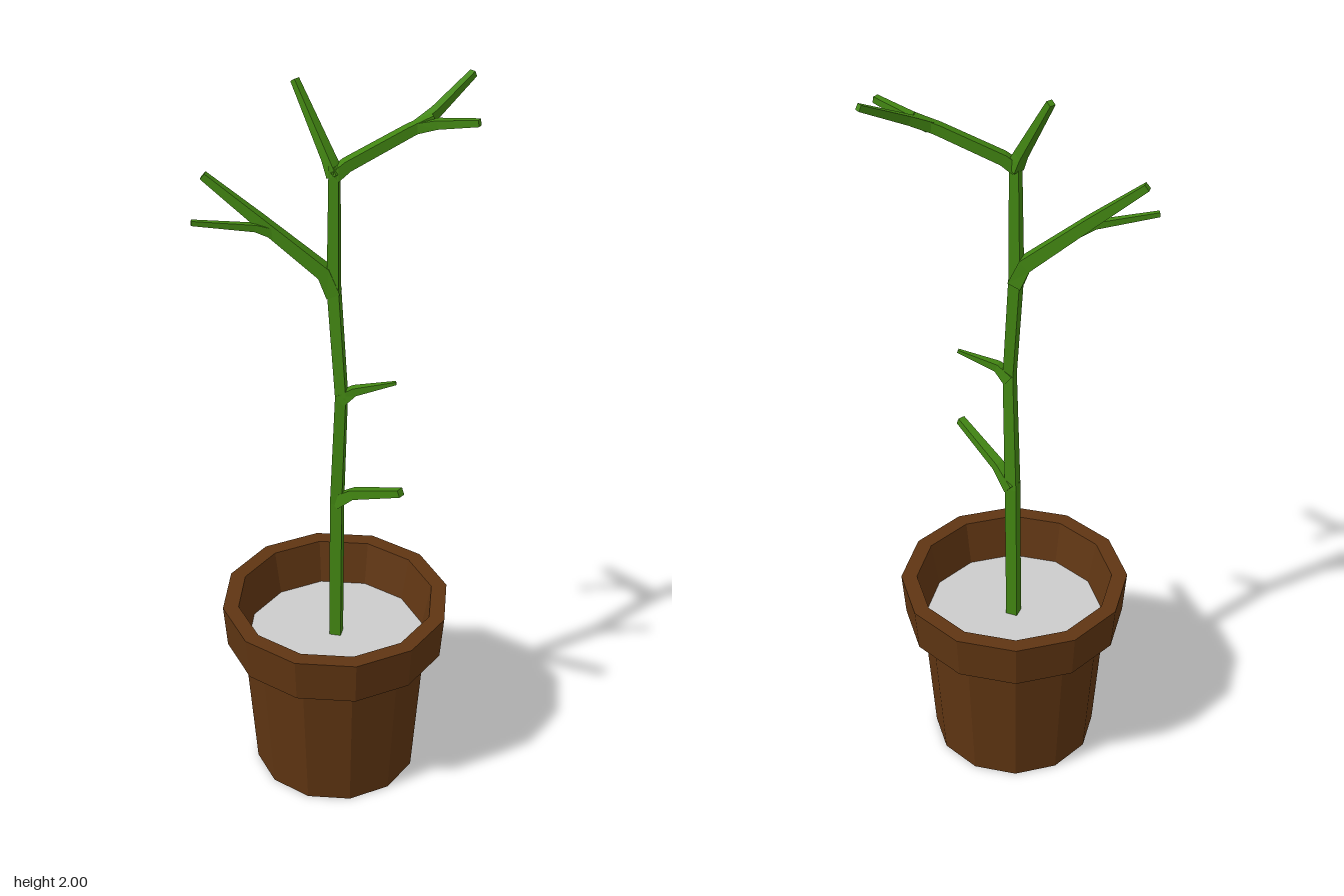
import * as THREE from 'three';

const V = (x, y, z) => new THREE.Vector3(x, y, z);
const green = new THREE.MeshStandardMaterial({ color: 0x428612, flatShading: true });
const brown = new THREE.MeshStandardMaterial({ color: 0x5f3512, flatShading: true, side: THREE.DoubleSide });
const grey = new THREE.MeshStandardMaterial({ color: 0xcccccc, flatShading: true });

// Square-section limb through points [x, y, z, half width], capped at both ends
function limb(name, rows, twist = 0) {
  const pts = rows.map(r => V(r[0], r[1], r[2]));
  const pos = [], idx = [], last = rows.length - 1;
  const whole = pts[last].clone().sub(pts[0]).normalize();
  const ref = Math.abs(whole.y) > 0.95 ? V(0, 0, 1) : V(0, 1, 0);
  pts.forEach((p, i) => {
    const dir = pts[Math.min(i + 1, last)].clone().sub(pts[Math.max(i - 1, 0)]).normalize();
    const side = dir.clone().cross(ref).normalize();
    const up = side.clone().cross(dir);
    for (let k = 0; k < 4; k++) {
      const a = twist + Math.PI / 4 + k * Math.PI / 2, r = rows[i][3] * Math.SQRT2;
      const q = p.clone().addScaledVector(side, r * Math.cos(a)).addScaledVector(up, r * Math.sin(a));
      pos.push(q.x, q.y, q.z);
    }
  });
  for (let i = 0; i < last; i++) {
    for (let k = 0; k < 4; k++) {
      const a = i * 4 + k, b = i * 4 + (k + 1) % 4;
      // side x up points against the limb, so the ring runs clockwise seen from the tip
      idx.push(a, a + 4, b, b, a + 4, b + 4);
    }
  }
  const e = last * 4;
  idx.push(0, 1, 2, 0, 2, 3, e, e + 2, e + 1, e, e + 3, e + 2);
  const g = new THREE.BufferGeometry();
  g.setAttribute('position', new THREE.Float32BufferAttribute(pos, 3));
  g.setIndex(idx);
  g.computeVertexNormals();
  const mesh = new THREE.Mesh(g, green);
  mesh.name = name;
  return mesh;
}

export function createModel() {
  const model = new THREE.Group();
  model.name = 'pottedPlant';

  // Twelve-sided pot: floor, tapered wall, overhanging rim, inner wall
  const profile = [
    [0, 0], [0.228, 0], [0.258, 0.415], [0.303, 0.415],
    [0.313, 0.54], [0.27, 0.54], [0.245, 0.41],
  ].map(p => new THREE.Vector2(p[0], p[1]));
  const pot = new THREE.Mesh(new THREE.LatheGeometry(profile, 12), brown);
  pot.name = 'pot';
  pot.position.x = -0.008;

  // Soil disc
  const soil = new THREE.Mesh(new THREE.CircleGeometry(0.247, 12), grey);
  soil.name = 'soil';
  soil.rotation.x = -Math.PI / 2;
  soil.position.set(-0.008, 0.415, 0);
  model.add(pot, soil);

  // Main stem with slight bends at each joint
  model.add(limb('stem', [
    [-0.006, 0.4, -0.004, 0.016], [-0.003, 0.85, -0.006, 0.016], [0.004, 1.19, 0.02, 0.014],
    [-0.012, 1.49, 0, 0.015], [-0.01, 1.81, 0, 0.012],
  ], 0.4));

  // Short side shoots
  model.add(limb('lowerShoot', [
    [-0.002, 0.85, -0.008, 0.018], [0.035, 0.895, 0.032, 0.013], [0.136, 0.962, 0.15, 0.01],
  ]));
  model.add(limb('middleShoot', [
    [0.003, 1.18, 0.018, 0.017], [0.036, 1.208, 0.032, 0.011], [0.137, 1.237, 0.062, 0.004],
  ]));

  // Forked branch on the right side
  model.add(limb('rightBranch', [
    [-0.011, 1.47, 0, 0.018], [-0.035, 1.53, -0.008, 0.018],
    [-0.19, 1.665, -0.046, 0.014], [-0.317, 1.774, -0.082, 0.009],
  ]));
  model.add(limb('rightTwig', [
    [-0.15, 1.63, -0.036, 0.013], [-0.2, 1.65, -0.034, 0.009], [-0.355, 1.676, -0.03, 0.006],
  ]));

  // Crown: one upright shoot and a branch that forks in two
  model.add(limb('topShoot', [
    [-0.008, 1.785, 0, 0.016], [-0.022, 1.825, -0.015, 0.013], [-0.088, 1.993, -0.1, 0.008],
  ]));
  model.add(limb('leftBranch', [
    [-0.012, 1.785, 0, 0.015], [0.02, 1.81, 0, 0.014], [0.17, 1.886, 0, 0.013], [0.23, 1.912, 0, 0.012],
  ]));
  model.add(limb('leftBackTwig', [
    [0.19, 1.893, 0, 0.013], [0.24, 1.92, -0.024, 0.011], [0.346, 1.983, -0.096, 0.008],
  ]));
  model.add(limb('leftFrontTwig', [
    [0.19, 1.893, 0, 0.013], [0.235, 1.906, 0.02, 0.011], [0.32, 1.926, 0.081, 0.008],
  ]));

  return model;
}
